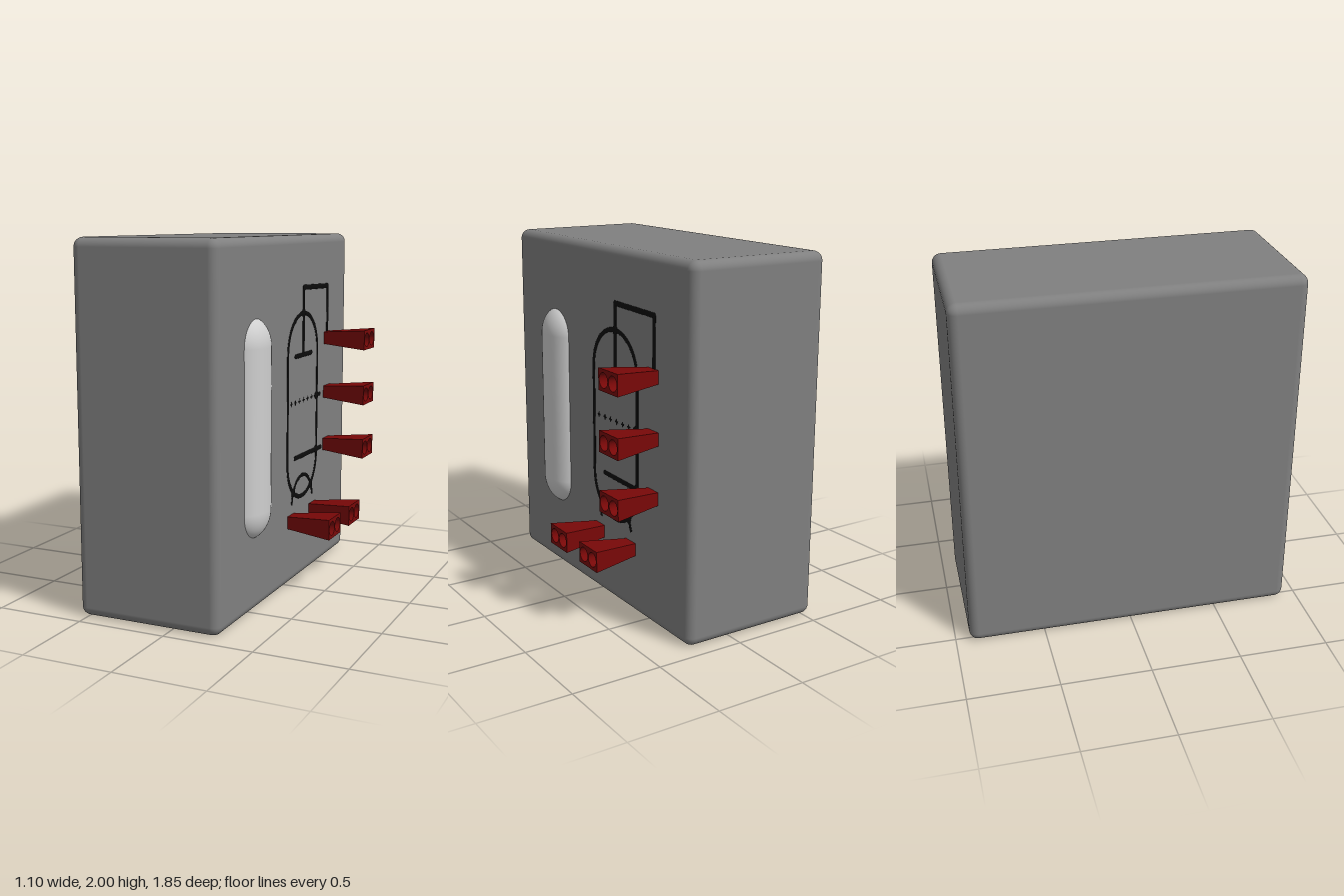
import * as THREE from 'three';
import { RoundedBoxGeometry } from 'three/addons/geometries/RoundedBoxGeometry.js';

const mat = (name, color) => {
  const m = new THREE.MeshStandardMaterial({ color });
  m.name = name;
  return m;
};

const FACE = 0.275; // x of the panel face

export function createModel() {
  const grey = mat('caseGrey', 0x808080);
  const white = mat('lampWhite', 0xcfcfcf);
  const red = mat('socketRed', 0x780808);
  const black = mat('inkBlack', 0x0c0c0c);

  const model = new THREE.Group();
  model.name = 'panelBox';
  const add = (parent, geometry, material, name) => {
    const mesh = new THREE.Mesh(geometry, material);
    mesh.name = name;
    parent.add(mesh);
    return mesh;
  };

  // Case
  const body = add(model, new RoundedBoxGeometry(0.825, 2, 1.845, 4, 0.05), grey, 'case');
  body.position.set(-0.1375, 1, 0);

  // Long lamp, sunk into the face
  const lamp = add(model, new THREE.CapsuleGeometry(0.159, 0.872, 12, 40), white, 'lamp');
  lamp.scale.x = 0.11 / 0.159;
  lamp.position.set(0.235, 0.995, 0.46);

  // Tapered sockets: solid root, then a front with two holes
  const LEN = 0.27, SPLIT = 0.17;
  const taper = (g) => {
    const p = g.attributes.position;
    for (let i = 0; i < p.count; i++) {
      const t = p.getZ(i) / LEN;
      p.setX(i, p.getX(i) * THREE.MathUtils.lerp(0.51, 1, t));
      p.setY(i, p.getY(i) * THREE.MathUtils.lerp(0.62, 1, t));
    }
    g.computeVertexNormals();
    return g.rotateY(Math.PI / 2);
  };
  const outline = new THREE.Shape();
  outline.moveTo(-0.094, -0.058).lineTo(0.094, -0.058).lineTo(0.094, 0.058).lineTo(-0.094, 0.058).closePath();
  for (const side of [-1, 1]) {
    const hole = new THREE.Path();
    hole.absarc(side * 0.045, 0, 0.04, 0, Math.PI * 2, true);
    outline.holes.push(hole);
  }
  const front = taper(new THREE.ExtrudeGeometry(outline, { depth: LEN - SPLIT, bevelEnabled: false, curveSegments: 24 })
    .translate(0, 0, SPLIT));
  const root = taper(new THREE.BoxGeometry(0.188, 0.116, SPLIT).translate(0, 0, SPLIT / 2));
  const sockets = [[1.385, -0.583], [1.058, -0.583], [0.735, -0.583], [0.377, -0.03], [0.377, -0.36]];
  for (const [y, z] of sockets) {
    const socket = new THREE.Group();
    socket.name = 'socket';
    add(socket, root, red, 'socketRoot');
    add(socket, front, red, 'socketFront');
    socket.position.set(FACE, y, z);
    model.add(socket);
  }

  // Valve diagram: flattened strokes lying on the face, points given as [z, y]
  const diagram = new THREE.Group();
  diagram.name = 'valveDiagram';
  diagram.position.x = FACE;
  diagram.scale.x = 0.3;
  model.add(diagram);
  const v = ([z, y]) => new THREE.Vector3(0, y, z);
  const dot = (p, r, name) =>
    add(diagram, new THREE.SphereGeometry(r, 12, 8), black, name).position.copy(v(p));
  const line = (name, r, ...pts) => {
    for (let i = 0; i + 1 < pts.length; i++) {
      add(diagram, new THREE.TubeGeometry(new THREE.LineCurve3(v(pts[i]), v(pts[i + 1])), 1, r, 10), black, name);
    }
    pts.forEach((p) => dot(p, r, name + 'End'));
  };
  const arc = (z, y, rz, ry, from, to) => Array.from({ length: 25 }, (_, i) => {
    const a = from + (to - from) * i / 24;
    return v([z + rz * Math.cos(a), y + ry * Math.sin(a)]);
  });
  const R = 0.225, CZ = -0.2;

  // Envelope
  const ring = [...arc(CZ, 1.335, R, R, 0, Math.PI), ...arc(CZ, 0.715, R, R, Math.PI, 2 * Math.PI)];
  const ringPath = new THREE.CurvePath();
  ring.forEach((p, i) => ringPath.add(new THREE.LineCurve3(p, ring[(i + 1) % ring.length])));
  add(diagram, new THREE.TubeGeometry(ringPath, 160, 0.013, 10, true), black, 'envelope');

  // Anode with its lead
  line('anodeLead', 0.015, [-0.205, 1.32], [-0.205, 1.705], [-0.587, 1.695], [-0.587, 1.42]);
  line('anodePlate', 0.013, [-0.085, 1.32], [-0.33, 1.32]);
  dot([-0.205, 1.56], 0.026, 'anodeJoint');

  // Dashed grid
  for (let i = 0; i < 6; i++) {
    const z = -0.028 - i * 0.0627;
    line('gridDash', 0.005, [z - 0.011, 1.055], [z + 0.011, 1.055]);
    line('gridDash', 0.005, [z, 1.044], [z, 1.066]);
  }
  line('gridLead', 0.011, [-0.395, 1.055], [-0.475, 1.055]);
  dot([-0.42, 1.055], 0.026, 'gridJoint');

  // Cathode
  line('cathode', 0.014, [-0.085, 0.732], [-0.5, 0.725]);
  dot([-0.42, 0.727], 0.026, 'cathodeJoint');

  // Heater
  const heater = new THREE.CatmullRomCurve3(
    [[-0.042, 0.465], [-0.065, 0.535], [-0.125, 0.595], [-0.2, 0.613], [-0.275, 0.595], [-0.335, 0.535], [-0.365, 0.465]].map(v));
  add(diagram, new THREE.TubeGeometry(heater, 40, 0.011, 10), black, 'heater');
  dot([-0.063, 0.533], 0.026, 'heaterJoint');
  dot([-0.335, 0.533], 0.026, 'heaterJoint');

  return model;
}
